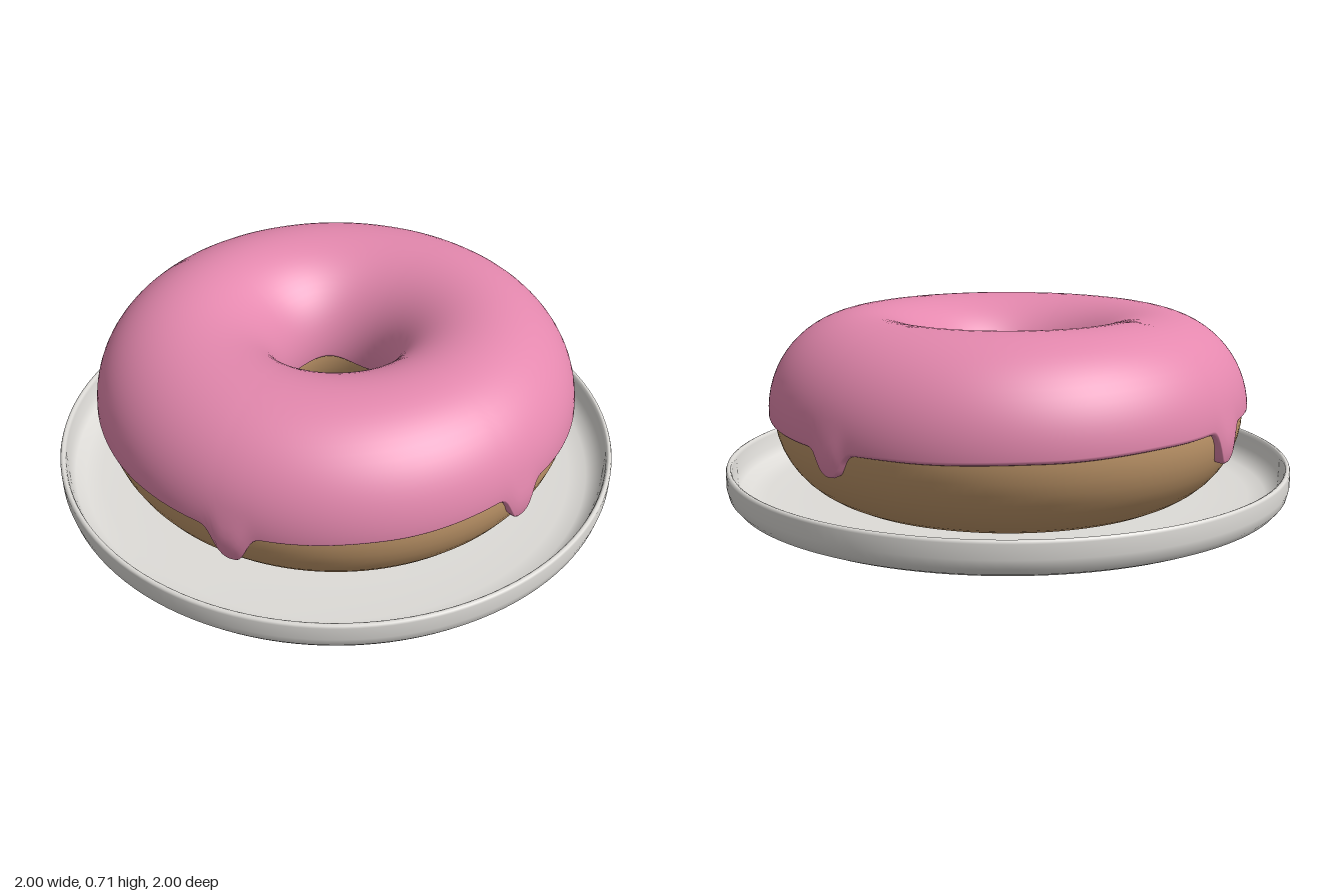
import * as THREE from 'three';

const ICING = new THREE.MeshStandardMaterial({ color: 0xe488ae });
ICING.name = 'pink icing';
const DOUGH = new THREE.MeshStandardMaterial({ color: 0xc49a6c });
DOUGH.name = 'baked dough';
const CERAMIC = new THREE.MeshStandardMaterial({ color: 0xdedcd8 });
CERAMIC.name = 'white ceramic';

const RING = 0.515, CENTRE_Y = 0.38;       // ring radius and mid height of the doughnut
const DOUGH_R = 0.313, ICING_R = 0.33;     // tube radii

// drips: angle from the front towards +x (degrees) and lowest height
const DRIPS = [[26, 0.235], [94, 0.275], [191, 0.265], [290, 0.265]];

// height of the icing's wavy outer edge, every 30 degrees from the front
const EDGE = [0.36, 0.352, 0.368, 0.383, 0.372, 0.35, 0.345, 0.352, 0.362, 0.375, 0.385, 0.371];

function edgeHeight(a) {
  const n = EDGE.length, f = (a / (2 * Math.PI)) * n;
  const i = Math.floor(f) % n, t = f - Math.floor(f);
  return THREE.MathUtils.lerp(EDGE[i], EDGE[(i + 1) % n], t * t * (3 - 2 * t));
}

// tube radius and angle of every icing point along one cross-section
function icingSection(a) {
  let y = edgeHeight(a), swell = 0;
  for (const [deg, low] of DRIPS) {
    const d = Math.abs(a - THREE.MathUtils.degToRad(deg));
    const w = Math.exp(-Math.pow(Math.min(d, 2 * Math.PI - d) / 0.074, 3));
    y += (low - y) * w;
    swell += 0.016 * w;
  }
  const lip = 0.05, lipSteps = 4, steps = 34, base = DOUGH_R - 0.005;
  const start = Math.asin((y - CENTRE_Y) / ICING_R);
  const innerY = 0.345 + 0.012 * Math.sin(3 * a + 1) + 0.008 * Math.sin(5 * a);
  const end = Math.PI - Math.asin((innerY - CENTRE_Y) / ICING_R);
  const radius = (p) => ICING_R + swell * (1 - THREE.MathUtils.smoothstep(p, -0.25, 0.2));
  const pts = [];
  // rounded outer lip
  for (let k = 0; k < lipSteps; k++) {
    const q = (k / lipSteps) * Math.PI / 2, p = start + lip * (1 - Math.cos(q));
    pts.push([p, base + (radius(p) - base) * Math.sin(q)]);
  }
  // over the top
  for (let k = 0; k <= steps; k++) {
    const p = THREE.MathUtils.lerp(start + lip, end - lip, k / steps);
    pts.push([p, radius(p)]);
  }
  // rounded inner lip
  for (let k = lipSteps - 1; k >= 0; k--) {
    const q = (k / lipSteps) * Math.PI / 2;
    pts.push([end - lip * (1 - Math.cos(q)), base + (ICING_R - base) * Math.sin(q)]);
  }
  return pts;
}

function icingGeometry() {
  const segments = 480, position = [], index = [];
  let rows = 0;
  for (let i = 0; i < segments; i++) {
    const a = (i / segments) * 2 * Math.PI, section = icingSection(a);
    rows = section.length;
    for (const [p, tube] of section) {
      const r = RING + tube * Math.cos(p);
      position.push(r * Math.sin(a), CENTRE_Y + tube * Math.sin(p), r * Math.cos(a));
    }
  }
  for (let i = 0; i < segments; i++) {
    const next = (i + 1) % segments;
    for (let j = 0; j < rows - 1; j++) {
      const a = i * rows + j, b = next * rows + j;
      index.push(a, b, a + 1, b, b + 1, a + 1);
    }
  }
  const geometry = new THREE.BufferGeometry();
  geometry.setAttribute('position', new THREE.Float32BufferAttribute(position, 3));
  geometry.setIndex(index);
  geometry.computeVertexNormals();
  return geometry;
}

export function createModel() {
  const model = new THREE.Group();
  model.name = 'icedDoughnutOnPlate';
  const add = (name, geometry, material) => {
    const mesh = new THREE.Mesh(geometry, material);
    mesh.name = name;
    model.add(mesh);
  };

  // shallow plate: underside, rolled rim, then the floor
  const plate = [
    [0, 0], [0.5, 0.006], [0.75, 0.018], [0.87, 0.038], [0.94, 0.062], [0.975, 0.078],
    [0.993, 0.1], [1, 0.13], [1, 0.178], [0.997, 0.186], [0.99, 0.189], [0.983, 0.186],
    [0.979, 0.175], [0.972, 0.13], [0.955, 0.1], [0.92, 0.08], [0.86, 0.07], [0.7, 0.066], [0, 0.064],
  ].map(([x, y]) => new THREE.Vector2(x, y));
  add('plate', new THREE.LatheGeometry(plate, 128), CERAMIC);

  // dough ring
  const dough = new THREE.TorusGeometry(RING, DOUGH_R, 48, 128);
  dough.rotateX(Math.PI / 2);
  dough.translate(0, CENTRE_Y, 0);
  add('dough', dough, DOUGH);

  add('icing', icingGeometry(), ICING);
  return model;
}
